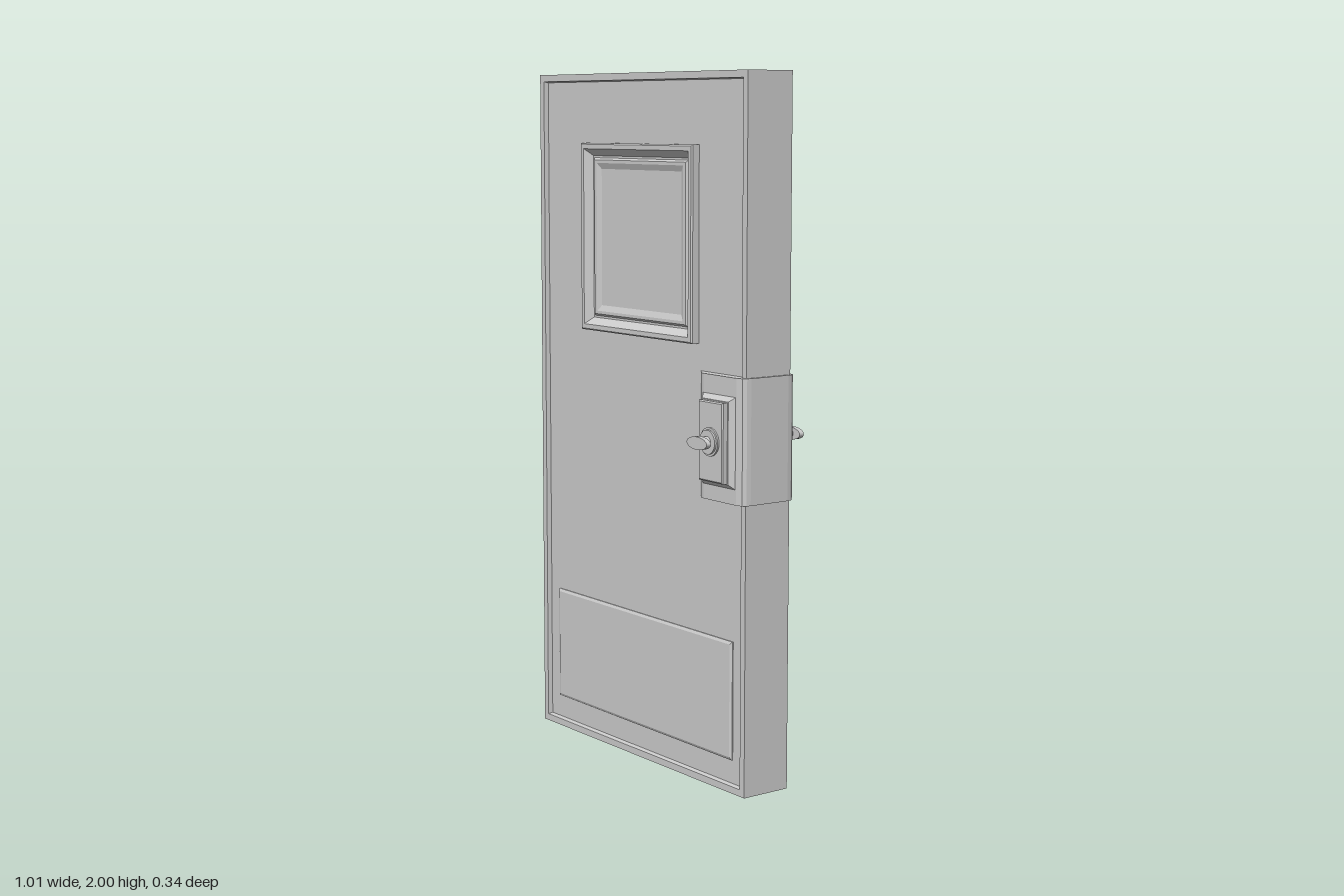
import * as THREE from 'three';

const material = new THREE.MeshStandardMaterial({ color: 0xcccccc });
const flat = new THREE.MeshStandardMaterial({ color: 0xcccccc, flatShading: true });

// Skin over nested rectangles [halfWidth, halfHeight, z], listed from back to front
function rectLoft(rings, capBack = false) {
  const pos = [];
  const corners = rings.map(([w, h, z]) => [[-w, -h, z], [w, -h, z], [w, h, z], [-w, h, z]]);
  const quad = (a, b, c, d) => pos.push(...a, ...b, ...c, ...a, ...c, ...d);
  for (let i = 0; i < corners.length - 1; i++) {
    for (let k = 0; k < 4; k++) {
      const n = (k + 1) % 4;
      quad(corners[i][k], corners[i][n], corners[i + 1][n], corners[i + 1][k]);
    }
  }
  quad(...corners[corners.length - 1]);
  if (capBack) quad(...[...corners[0]].reverse());
  const geo = new THREE.BufferGeometry();
  geo.setAttribute('position', new THREE.Float32BufferAttribute(pos, 3));
  geo.computeVertexNormals();
  return geo;
}

function add(parent, name, geo, x, y, z = 0, mat = flat) {
  const mesh = new THREE.Mesh(geo, mat);
  mesh.name = name;
  mesh.position.set(x, y, z);
  parent.add(mesh);
  return mesh;
}

// Disc or rod whose axis points along z, spanning z0 to z1
function rod(radius, z0, z1) {
  return new THREE.CylinderGeometry(radius, radius, z1 - z0, 24)
    .rotateX(Math.PI / 2).translate(0, 0, (z0 + z1) / 2);
}

// Lock plate, rosette and thumb turn, facing +z
function createLockFace() {
  const g = new THREE.Group();
  add(g, 'lockPlate', rectLoft([
    [0.072, 0.127, 0.085], [0.072, 0.127, 0.094], [0.058, 0.114, 0.108],
    [0.054, 0.112, 0.108], [0.054, 0.112, 0.122], [0.05, 0.108, 0.125],
  ]), 0, 0);
  add(g, 'rosette', rod(0.04, 0.12, 0.13), 0, 0, 0, material);
  add(g, 'rosetteStep', rod(0.034, 0.13, 0.136), 0, 0, 0, material);
  add(g, 'turnStem', rod(0.016, 0.13, 0.162), 0, 0, 0, material);
  add(g, 'thumbTurn', rod(0.045, 0.157, 0.172).scale(1, 0.4, 1), 0, 0, 0, material);
  return g;
}

export function createModel() {
  const door = new THREE.Group();
  door.name = 'door';
  const cx = -0.004;

  // Slab with a thin raised rim around a recessed panel on both faces
  add(door, 'doorSlab', rectLoft([
    [0.478, 0.977, -0.063], [0.481, 0.98, -0.077], [0.501, 1, -0.077],
    [0.501, 1, 0.077], [0.481, 0.98, 0.077], [0.478, 0.977, 0.063],
  ], true), cx, 1);

  // Lock housing wrapped around the door's edge
  const side = [[0.275, 0.062], [0.315, 0.09], [0.33, 0.094], [0.475, 0.094], [0.495, 0.088], [0.502, 0.078], [0.504, 0.065]];
  const outline = [...side, ...side.map(([x, z]) => [x, -z]).reverse()];
  const shape = new THREE.Shape(outline.map(([x, z]) => new THREE.Vector2(x, z)));
  const housing = new THREE.ExtrudeGeometry(shape, { depth: 0.35, bevelEnabled: false });
  housing.rotateX(-Math.PI / 2);
  add(door, 'lockHousing', housing, 0, 0.825);

  // Fittings repeated on the front and back faces
  for (const face of ['front', 'back']) {
    const turn = face === 'front' ? 0 : Math.PI;
    const fittings = new THREE.Group();
    fittings.name = face + 'Fittings';
    fittings.position.x = cx;
    fittings.rotation.y = turn;
    door.add(fittings);

    // Window: moulded frame, groove, bead and pane
    add(fittings, 'window', rectLoft([
      [0.271, 0.275, 0.055], [0.271, 0.275, 0.085], [0.267, 0.271, 0.089],
      [0.254, 0.258, 0.089], [0.234, 0.238, 0.067], [0.228, 0.232, 0.067],
      [0.222, 0.226, 0.073], [0.21, 0.217, 0.073], [0.194, 0.2, 0.066],
    ]), 0, 1.525);

    // Kick plate
    add(fittings, 'kickPlate', rectLoft([
      [0.432, 0.17, 0.055], [0.432, 0.17, 0.066], [0.424, 0.162, 0.07],
    ]), 0, 0.26);

    const lock = createLockFace();
    lock.name = face + 'Lock';
    lock.position.set(0.4, 0.995, 0);
    lock.rotation.y = turn;
    door.add(lock);
  }
  return door;
}
